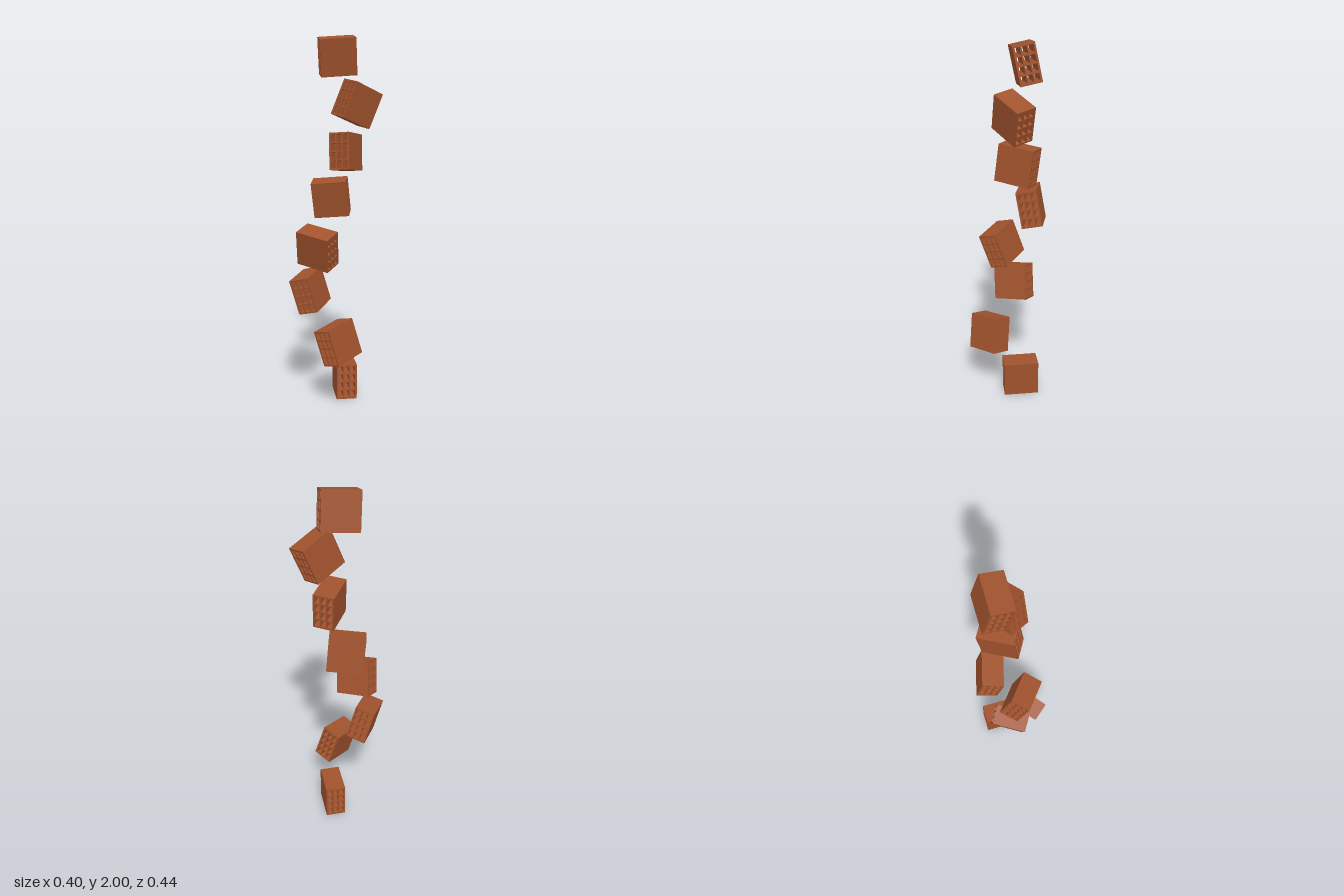
import * as THREE from 'three';

// Brick size: width (3 cells), height (4 cells), depth along the open cells
const W = 0.113, H = 0.198, D = 0.194;
const COLS = 3, ROWS = 4, WALL = 0.01, WEB = 0.008;

function rectangle(path, x, y, w, h) {
  path.moveTo(x, y);
  path.lineTo(x + w, y);
  path.lineTo(x + w, y + h);
  path.lineTo(x, y + h);
  path.closePath();
  return path;
}

// Hollow clay brick: a grid of rectangular cells running right through
function brickGeometry() {
  const shape = rectangle(new THREE.Shape(), -W / 2, -H / 2, W, H);
  const cw = (W - 2 * WALL - (COLS - 1) * WEB) / COLS;
  const ch = (H - 2 * WALL - (ROWS - 1) * WEB) / ROWS;
  for (let i = 0; i < COLS; i++) {
    for (let j = 0; j < ROWS; j++) {
      const x = -W / 2 + WALL + i * (cw + WEB);
      const y = -H / 2 + WALL + j * (ch + WEB);
      shape.holes.push(rectangle(new THREE.Path(), x, y, cw, ch));
    }
  }
  return new THREE.ExtrudeGeometry(shape, { depth: D, bevelEnabled: false }).translate(0, 0, -D / 2);
}

// Tumbling stack, bottom to top: centre, cell axis, upright axis
const BRICKS = [
  { at: [0.013, 0.099, -0.07], axis: [0.79, 0, 0.61], up: [0, 1, 0] },
  { at: [0.112, 0.36, 0.081], axis: [0.06, -0.17, 0.98], up: [-0.24, 0.955, 0.16] },
  { at: [-0.095, 0.614, 0.092], axis: [0.38, -0.15, 0.91], up: [-0.17, 0.96, 0.22] },
  { at: [-0.018, 0.867, 0.11], axis: [0.95, -0.17, -0.25], up: [0.22, 0.94, 0.25] },
  { at: [-0.079, 1.124, -0.055], axis: [0.79, 0.08, -0.61], up: [0.055, 0.98, 0.2] },
  { at: [0.029, 1.379, -0.061], axis: [0.36, 0.12, 0.92], up: [-0.1, 0.99, -0.08] },
  { at: [0.086, 1.635, -0.085], axis: [-0.1, 0.31, 0.94], up: [0.2, 0.92, -0.31] },
  { at: [-0.029, 1.888, -0.053], axis: [0.62, 0.1, -0.78], up: [0.12, 0.975, 0.18] },
];

export function createModel() {
  const group = new THREE.Group();
  group.name = 'brickStack';
  const clay = new THREE.MeshStandardMaterial({ color: 0xa0522d });
  clay.name = 'clay';
  const geometry = brickGeometry();

  BRICKS.forEach(({ at, axis, up }, i) => {
    const y = new THREE.Vector3(...up).normalize();
    const x = y.clone().cross(new THREE.Vector3(...axis)).normalize();
    const z = x.clone().cross(y);
    const brick = new THREE.Mesh(geometry, clay);
    brick.name = `brick${i + 1}`;
    brick.quaternion.setFromRotationMatrix(new THREE.Matrix4().makeBasis(x, y, z));
    brick.position.set(...at);
    group.add(brick);
  });
  return group;
}
